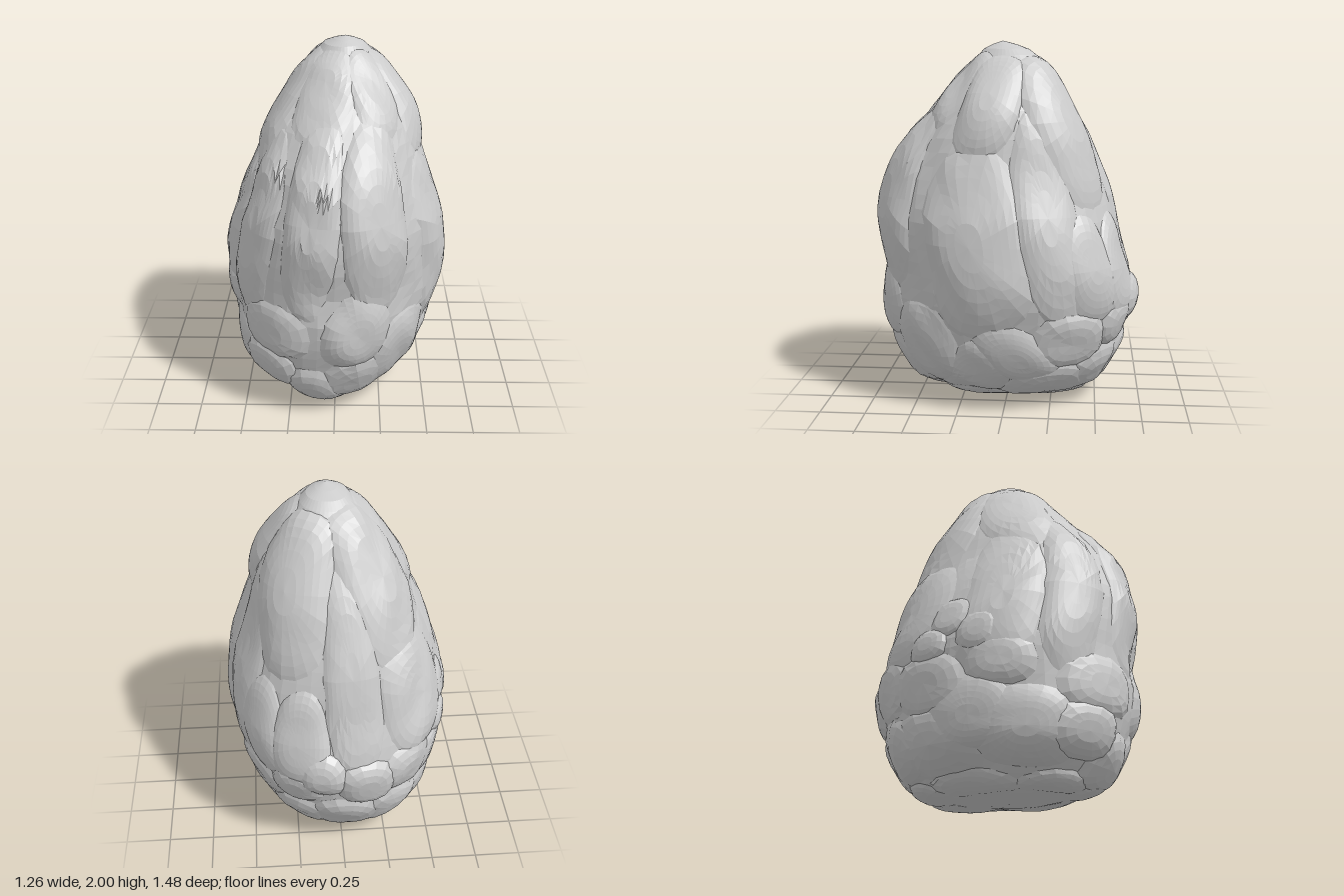
import * as THREE from 'three';

// Body outline: height, left and right extent, back and front extent
const ROWS = [
  [0, -0.05, -0.05, 0.02, 0.02], [0.008, -0.18, 0.11, -0.24, 0.32], [0.035, -0.3, 0.25, -0.44, 0.48],
  [0.1, -0.4, 0.36, -0.54, 0.57], [0.2, -0.53, 0.46, -0.6, 0.63], [0.32, -0.57, 0.52, -0.66, 0.68],
  [0.45, -0.59, 0.56, -0.69, 0.72], [0.6, -0.61, 0.6, -0.72, 0.73], [0.75, -0.62, 0.62, -0.69, 0.715],
  [0.9, -0.6, 0.61, -0.64, 0.735], [1.05, -0.56, 0.59, -0.61, 0.745], [1.2, -0.51, 0.54, -0.57, 0.72],
  [1.35, -0.46, 0.5, -0.51, 0.67], [1.5, -0.41, 0.47, -0.45, 0.57], [1.65, -0.33, 0.42, -0.37, 0.44],
  [1.8, -0.23, 0.32, -0.29, 0.31], [1.9, -0.15, 0.24, -0.22, 0.22], [1.97, -0.07, 0.16, -0.12, 0.14],
  [2, 0.05, 0.05, 0.03, 0.03],
];
const lowSide = new THREE.CatmullRomCurve3(ROWS.map(r => new THREE.Vector3(r[1], r[0], r[3])), false, 'catmullrom');
const highSide = new THREE.CatmullRomCurve3(ROWS.map(r => new THREE.Vector3(r[2], r[0], r[4])), false, 'catmullrom');

// Profile parameter at a height
function paramAt(y) {
  let j = 0;
  while (j < ROWS.length - 2 && ROWS[j + 1][0] < y) j++;
  return (j + (y - ROWS[j][0]) / (ROWS[j + 1][0] - ROWS[j][0])) / (ROWS.length - 1);
}

// Point on the body; angle 0 is the front, 90 degrees is +x.
// The back corners are fuller and the front left corner flatter than an ellipse.
function bodyPoint(angle, t) {
  const a = lowSide.getPoint(t), b = highSide.getPoint(t);
  const s = Math.sin(angle), c = Math.cos(angle);
  const corner = c < 0 ? 0.045 : s > 0 ? -0.045 : 0;
  const q = 1 + corner * Math.sin(2 * angle) ** 2;
  return new THREE.Vector3((a.x + b.x) / 2 + (b.x - a.x) / 2 * s * q, a.y, (a.z + b.z) / 2 + (b.z - a.z) / 2 * c * q);
}

// Body point pushed along its outward normal, with a slight unevenness
function offsetPoint(angle, t, offset, rough) {
  const e = 0.004, s = THREE.MathUtils.clamp(t, 0.02, 0.98), p = bodyPoint(angle, t);
  const du = bodyPoint(angle + e, s).sub(bodyPoint(angle - e, s));
  const dv = bodyPoint(angle, s + e).sub(bodyPoint(angle, s - e));
  const n = du.cross(dv).normalize();
  const bump = Math.sin(p.x * 13 + p.y * 7) * Math.sin(p.z * 12 - p.y * 9) + 0.5 * Math.sin(p.x * 21 - p.z * 19 + p.y * 17);
  return p.addScaledVector(n, offset + bump * rough);
}

// Faceted skin over a grid of points
function gridMesh(name, nu, nv, f, material) {
  const pos = [], index = [];
  for (let j = 0; j <= nv; j++) for (let i = 0; i <= nu; i++) pos.push(...f(i / nu, j / nv).toArray());
  for (let j = 0; j < nv; j++) for (let i = 0; i < nu; i++) {
    const a = j * (nu + 1) + i, d = a + nu + 1;
    index.push(a, a + 1, d + 1, a, d + 1, d);
  }
  const geometry = new THREE.BufferGeometry();
  geometry.setAttribute('position', new THREE.Float32BufferAttribute(pos, 3));
  geometry.setIndex(index);
  geometry.computeVertexNormals();
  const mesh = new THREE.Mesh(geometry, material);
  mesh.name = name;
  return mesh;
}

// Domed scale following the body: angle, bottom, top, half width, rise, taper, lean
function scale(name, [deg, y0, y1, width, rise, taper = 0, lean = 0], material) {
  const t0 = paramAt(y0), t1 = paramAt(y1), tm = (t0 + t1) / 2;
  const root = -0.055;
  const big = y1 - y0 > 0.4;
  return gridMesh(name, big ? 8 : 5, big ? 24 : 14, (r, k) => {
    const a = k * Math.PI * 2, rho = Math.pow(r, 0.75);
    const c = Math.cos(a), s = Math.sin(a);
    const v = rho * Math.sign(s) * Math.pow(Math.abs(s), 0.85);
    const u = rho * Math.sign(c) * Math.pow(Math.abs(c), 0.85) * (1 - taper * v) + lean * v;
    const t = THREE.MathUtils.clamp(tm + v * (t1 - t0) / 2, 0.01, 0.99);
    const radius = Math.max(0.2, (highSide.getPoint(t).x - lowSide.getPoint(t).x) / 2);
    const lift = root + (rise - root) * (1 - Math.pow(rho, 4));
    return offsetPoint(THREE.MathUtils.degToRad(deg) + u * width / radius, t, lift, 0.006);
  }, material);
}

const LONG_SCALES = [
  [-15, 0.54, 1.8, 0.19, 0.004, 0.1], [24, 0.58, 1.74, 0.24, 0.012, 0.1], [-53, 0.42, 1.7, 0.2, -0.002, 0.2],
  [81, 0.36, 1.55, 0.31, 0.006, 0.1], [117, 0.42, 1.78, 0.19, 0, 0.3], [-87, 0.42, 1.55, 0.24, 0.003, 0.2],
  [187, 0.46, 1.84, 0.19, -0.002, 0.2], [157, 0.44, 1.14, 0.2, 0.012, 0.3, 0.2], [227, 0.58, 1.34, 0.3, 0.012, 0.05],
  [135, 0.46, 1.16, 0.19, 0.005, 0.25], [255, 0.5, 1.4, 0.22, -0.012, 0.1],
];
const CROWN_SCALES = [
  [146, 1.05, 1.97, 0.28, 0.012, 0.1], [220, 1.05, 1.985, 0.29, 0.002, 0.1], [-80, 1.26, 1.985, 0.26, -0.003, 0.1],
  [82, 1.34, 1.97, 0.2, 0.006, 0.1], [-22, 1.46, 1.985, 0.24, -0.007, 0.1], [36, 1.48, 1.98, 0.2, -0.006, 0.1],
];
const LOWER_LUMPS = [
  [14, 0.28, 0.84, 0.25, 0, 0.2], [-36, 0.32, 0.72, 0.3, 0.002], [-42, 0.11, 0.44, 0.23, 0.018],
  [-12, 0.02, 0.34, 0.22, 0.006], [20, 0.04, 0.44, 0.28, 0.004], [47, 0.07, 0.66, 0.27, 0.006, 0.1],
  [77, 0.04, 0.48, 0.23, 0, 0.1, 0.4], [98, 0.13, 0.56, 0.22, 0.004, 0.1, -0.4], [117, 0.03, 0.32, 0.26, 0.004],
  [123, 0.22, 0.62, 0.23, 0.004], [146, 0.05, 0.4, 0.23, 0.002], [152, 0.32, 0.66, 0.18, 0.006],
  [168, 0.42, 0.78, 0.16, 0.02], [179, 0.05, 0.44, 0.25, 0.006], [192, 0.34, 0.72, 0.2, 0.016],
  [212, 0.06, 0.44, 0.24, 0.002], [217, 0.36, 0.76, 0.22, 0.002], [240, 0.05, 0.44, 0.27, -0.002],
  [243, 0.33, 0.72, 0.23, 0.004], [262, 0.12, 0.58, 0.24, 0.002], [287, 0.07, 0.52, 0.27, 0.006],
  [276, 0.44, 0.78, 0.2, 0.004],
];
const SIDE_KNOBS = [
  [251, 0.72, 1.02, 0.13, 0.012], [266, 0.62, 0.92, 0.13, 0.01], [244, 0.6, 0.84, 0.12, 0.016],
];
const BASE_LUMPS = [
  [0, 0.006, 0.1, 0.16, 0], [70, 0.006, 0.12, 0.2, -0.004], [140, 0.006, 0.1, 0.18, -0.002],
  [195, 0.006, 0.12, 0.18, 0], [250, 0.006, 0.12, 0.2, -0.004], [310, 0.006, 0.1, 0.18, -0.002],
];

export function createModel() {
  const material = new THREE.MeshStandardMaterial({ color: 0xcccccc, flatShading: true });
  const model = new THREE.Group();
  model.name = 'scalyBud';

  // Core, slightly sunk so shallow grooves show between the scales
  model.add(gridMesh('core', 44, 36, (u, t) => {
    const fade = Math.min(1, Math.min(t, 1 - t) * 10);
    return offsetPoint(u * Math.PI * 2, t, -0.026 * fade, 0.004 * fade);
  }, material));

  // Overlapping scales and lumps
  const sets = {
    longScale: LONG_SCALES, crownScale: CROWN_SCALES, lowerLump: LOWER_LUMPS, sideKnob: SIDE_KNOBS, baseLump: BASE_LUMPS,
  };
  for (const [name, list] of Object.entries(sets)) {
    const group = new THREE.Group();
    group.name = name + 's';
    for (const spec of list) group.add(scale(name, spec, material));
    model.add(group);
  }
  return model;
}
